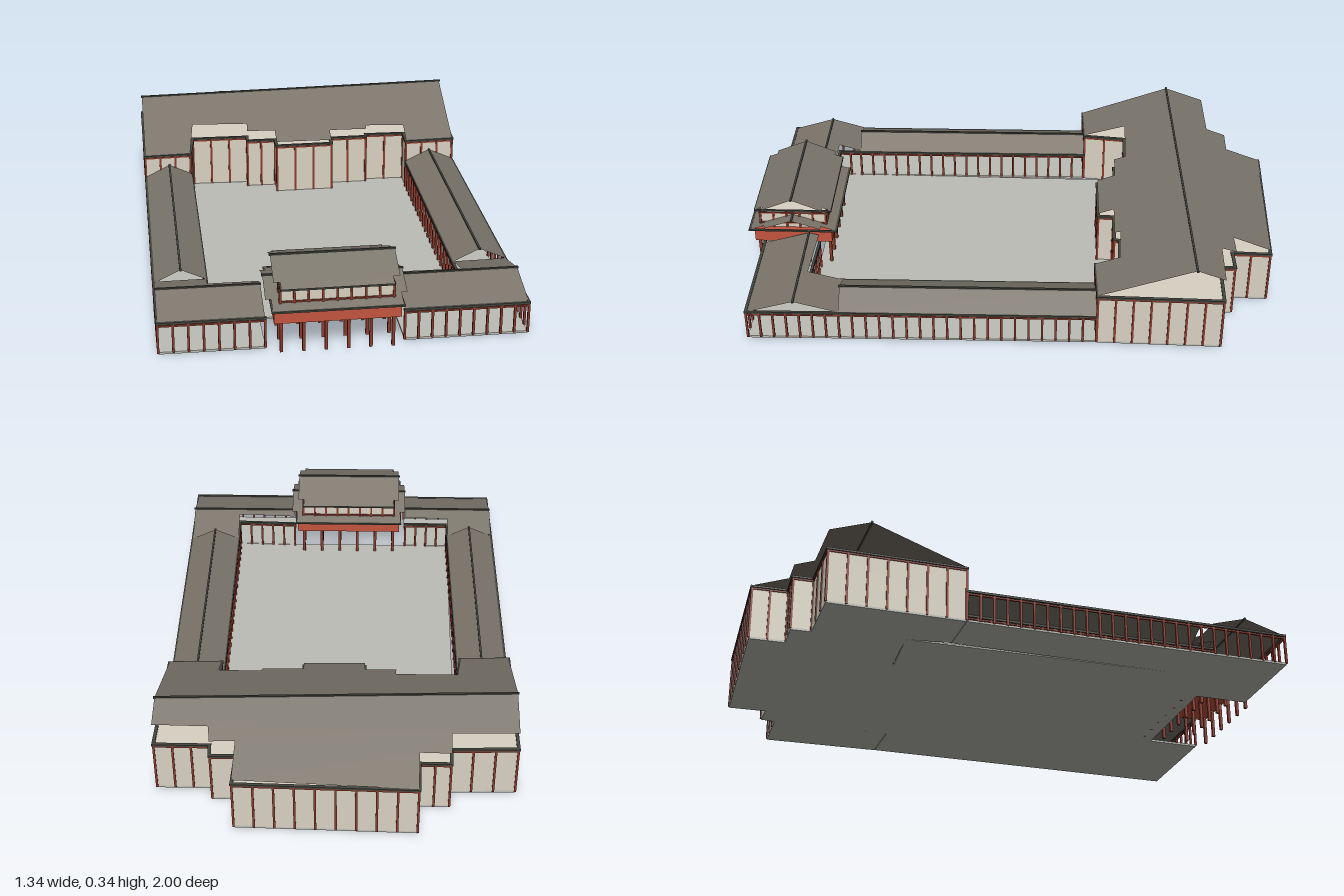
import * as THREE from 'three';
import { mergeGeometries } from 'three/addons/utils/BufferGeometryUtils.js';

const mat = (color, side = THREE.FrontSide) => new THREE.MeshStandardMaterial({ color, side, flatShading: true });
const ROOF = mat(0x7c766c, THREE.DoubleSide), DARK = mat(0x45453f), CREAM = mat(0xd8d2c2);
const RED = mat(0x8a3a2c), BRIGHT = mat(0xc4543f), FLOOR = mat(0xbdbdb6);

function add(group, name, geometry, material) {
  const mesh = new THREE.Mesh(geometry, material);
  mesh.name = name;
  group.add(mesh);
}

function box(w, h, d, x, y, z) {
  return new THREE.BoxGeometry(w, h, d).translate(x, y, z);
}

// Solid over an [x, z] outline, from y0 to y1
function prism(outline, y0, y1) {
  const shape = new THREE.Shape(outline.map(([x, z]) => new THREE.Vector2(x, -z)));
  return new THREE.ExtrudeGeometry(shape, { depth: y1 - y0, bevelEnabled: false }).rotateX(-Math.PI / 2).translate(0, y0, 0);
}

// Horizontal bar between two [x, z] points
function bar(a, b, y, w, h) {
  const dx = b[0] - a[0], dz = b[1] - a[1];
  return new THREE.BoxGeometry(Math.hypot(dx, dz) + w, h, w)
    .rotateY(-Math.atan2(dz, dx)).translate((a[0] + b[0]) / 2, y, (a[1] + b[1]) / 2);
}

const segments = (line) => line.slice(1).map((p, i) => [line[i], p]);
const closed = (line) => [...line, line[0]];
const bars = (line, y, w, h) => mergeGeometries(segments(line).map(([a, b]) => bar(a, b, y, w, h)));

// Evenly spaced posts along a polyline
function posts(line, y0, y1, step, w) {
  const parts = [];
  for (const [a, b] of segments(line)) {
    const n = Math.max(1, Math.round(Math.hypot(b[0] - a[0], b[1] - a[1]) / step));
    for (let i = 0; i <= n; i++) {
      const t = i / n;
      parts.push(box(w, y1 - y0, w, a[0] + (b[0] - a[0]) * t, (y0 + y1) / 2, a[1] + (b[1] - a[1]) * t));
    }
  }
  return mergeGeometries(parts);
}

// Thin gable roof: each point falls away from the ridge line a-b by its distance
function gable(outline, a, b, ridgeY, slope) {
  const len = Math.hypot(b[0] - a[0], b[1] - a[1]);
  const nx = -(b[1] - a[1]) / len, nz = (b[0] - a[0]) / len;
  const dist = ([x, z]) => (x - a[0]) * nx + (z - a[1]) * nz;
  const pos = [];
  for (const s of [1, -1]) {
    const half = [];
    outline.forEach((p, i) => {
      const q = outline[(i + 1) % outline.length], dp = s * dist(p), dq = s * dist(q);
      if (dp >= 0) half.push(p);
      if (dp * dq < 0) {
        const t = dp / (dp - dq);
        half.push([p[0] + (q[0] - p[0]) * t, p[1] + (q[1] - p[1]) * t]);
      }
    });
    const flat = half.map(([x, z]) => new THREE.Vector2(x, z));
    for (const tri of THREE.ShapeUtils.triangulateShape(flat, [])) {
      let [u, v, w] = tri.map((i) => half[i]);
      if ((v[1] - u[1]) * (w[0] - u[0]) - (v[0] - u[0]) * (w[1] - u[1]) < 0) [v, w] = [w, v];
      for (const p of [u, v, w]) pos.push(p[0], ridgeY - slope * Math.abs(dist(p)), p[1]);
    }
  }
  const geo = new THREE.BufferGeometry();
  geo.setAttribute('position', new THREE.Float32BufferAttribute(pos, 3));
  geo.computeVertexNormals();
  return geo;
}

function roof(group, name, outline, a, b, ridgeY, slope) {
  add(group, name, gable(outline, a, b, ridgeY, slope), ROOF);
  add(group, name + 'Ridge', bar(a, b, ridgeY, 0.007, 0.007), DARK);
}

// Plus-shaped outline: a main block with narrower ends
function plus(x1, z1, x2, z2) {
  return [[-x1, -z1], [x1, -z1], [x1, -z2], [x2, -z2], [x2, z2], [x1, z2],
    [x1, z1], [-x1, z1], [-x1, z2], [-x2, z2], [-x2, -z2], [-x1, -z2]];
}

function mainHall() {
  const g = new THREE.Group();
  g.name = 'mainHall';
  const plan = [[-0.615, -0.805], [-0.38, -0.802], [-0.375, -0.875], [-0.265, -0.87], [-0.257, -1],
    [0.38, -0.96], [0.37, -0.82], [0.46, -0.82], [0.463, -0.765], [0.66, -0.757],
    [0.633, -0.312], [0.44, -0.312], [0.445, -0.4], [0.29, -0.41], [0.285, -0.39], [0.135, -0.395],
    [0.133, -0.338], [-0.092, -0.345], [-0.092, -0.412], [-0.205, -0.417], [-0.202, -0.46],
    [-0.425, -0.472], [-0.45, -0.312], [-0.63, -0.312]];
  add(g, 'hallBase', prism(plan, 0, 0.008), FLOOR);
  add(g, 'hallWalls', prism(plan, 0.008, 0.207), CREAM);
  add(g, 'hallPosts', posts(closed(plan), 0.005, 0.2, 0.068, 0.008), RED);
  add(g, 'hallBeam', bars(closed(plan), 0.199, 0.008, 0.006), RED);
  add(g, 'hallEaves', bars(closed(plan), 0.207, 0.012, 0.007), DARK);
  roof(g, 'hallRoof', plan, [-0.62, -0.655], [0.655, -0.655], 0.336, 0.36);
  return g;
}

// Open covered walkway; rows are the lines of posts
function gallery(name, plan, rows, a, b, ridgeY, slope) {
  const g = new THREE.Group();
  g.name = name;
  add(g, 'floor', prism(plan, 0, 0.008), FLOOR);
  rows.forEach((row) => {
    add(g, 'posts', posts(row, 0.005, 0.112, 0.05, 0.008), RED);
    add(g, 'beam', bars(row, 0.107, 0.007, 0.006), RED);
    add(g, 'eaves', bars(row, 0.117, 0.01, 0.008), DARK);
  });
  roof(g, 'roof', plan, a, b, ridgeY, slope);
  return g;
}

function gatehouse() {
  const g = new THREE.Group();
  g.name = 'gatehouse';
  // Columns and balcony storey
  const cols = [];
  for (const z of [-0.135, -0.05, 0.05, 0.135])
    for (let i = 0; i < 6; i++) cols.push(box(0.011, 0.12, 0.011, -0.19 + i * 0.076, 0.06, z));
  add(g, 'gateColumns', mergeGeometries(cols), RED);
  add(g, 'balconyBand', box(0.43, 0.05, 0.295, 0, 0.138, 0), BRIGHT);
  const lower = plus(0.22, 0.165, 0.24, 0.108);
  add(g, 'lowerEaves', bars([[-0.22, 0.165], [0.22, 0.165], [0.22, -0.165], [-0.22, -0.165], [-0.22, 0.165]], 0.165, 0.008, 0.006), DARK);
  roof(g, 'lowerRoof', lower, [-0.24, 0], [0.24, 0], 0.222, 0.34);
  // Upper storey
  const wall = [[-0.192, -0.125], [0.192, -0.125], [0.192, 0.125], [-0.192, 0.125]];
  add(g, 'upperWalls', prism(wall, 0.162, 0.235), CREAM);
  add(g, 'upperPosts', posts(closed(wall), 0.162, 0.234, 0.048, 0.008), RED);
  for (const y of [0.184, 0.228]) add(g, 'upperBeam', bars(closed(wall), y, 0.009, 0.005), RED);
  // Upper roof
  const upper = plus(0.19, 0.146, 0.213, 0.115);
  add(g, 'upperEaves', bars(closed([[-0.19, -0.144], [0.19, -0.144], [0.19, 0.144], [-0.19, 0.144]]), 0.236, 0.007, 0.006), DARK);
  roof(g, 'upperRoof', upper, [-0.213, 0], [0.213, 0], 0.298, 0.41);
  g.position.set(-0.06, 0, 0.82);
  g.rotation.y = -0.036;
  return g;
}

export function createModel() {
  const model = new THREE.Group();
  model.name = 'walledCompound';

  const yard = [[-0.425, -0.472], [0.445, -0.41], [0.41, 0.745], [-0.48, 0.71]];
  add(model, 'courtyard', prism(yard, 0, 0.006), FLOOR);
  model.add(mainHall());

  // Side galleries
  model.add(gallery('rightGallery', [[-0.63, -0.31], [-0.447, -0.31], [-0.474, 0.62], [-0.658, 0.62]],
    [[[-0.63, -0.31], [-0.658, 0.62]], [[-0.447, -0.31], [-0.474, 0.62]]],
    [-0.535, -0.31], [-0.563, 0.62], 0.165, 0.48));
  model.add(gallery('leftGallery', [[0.44, -0.31], [0.632, -0.31], [0.606, 0.62], [0.412, 0.62]],
    [[[0.632, -0.31], [0.606, 0.62]], [[0.44, -0.31], [0.412, 0.62]]],
    [0.536, -0.31], [0.509, 0.62], 0.165, 0.46));

  // Front galleries, wrapping the corners
  model.add(gallery('frontRightGallery',
    [[-0.658, 0.62], [-0.474, 0.62], [-0.478, 0.707], [-0.3, 0.715], [-0.305, 0.92], [-0.665, 0.905]],
    [[[-0.658, 0.62], [-0.665, 0.905], [-0.305, 0.92]], [[-0.474, 0.62], [-0.478, 0.707], [-0.3, 0.715]]],
    [-0.66, 0.749], [-0.303, 0.764], 0.165, 0.3));
  model.add(gallery('frontLeftGallery',
    [[0.412, 0.62], [0.606, 0.62], [0.598, 0.953], [0.17, 0.937], [0.175, 0.728], [0.41, 0.745]],
    [[[0.606, 0.62], [0.598, 0.953], [0.17, 0.937]], [[0.412, 0.62], [0.41, 0.745], [0.175, 0.728]]],
    [0.173, 0.765], [0.602, 0.78], 0.165, 0.28));

  model.add(gatehouse());
  return model;
}
